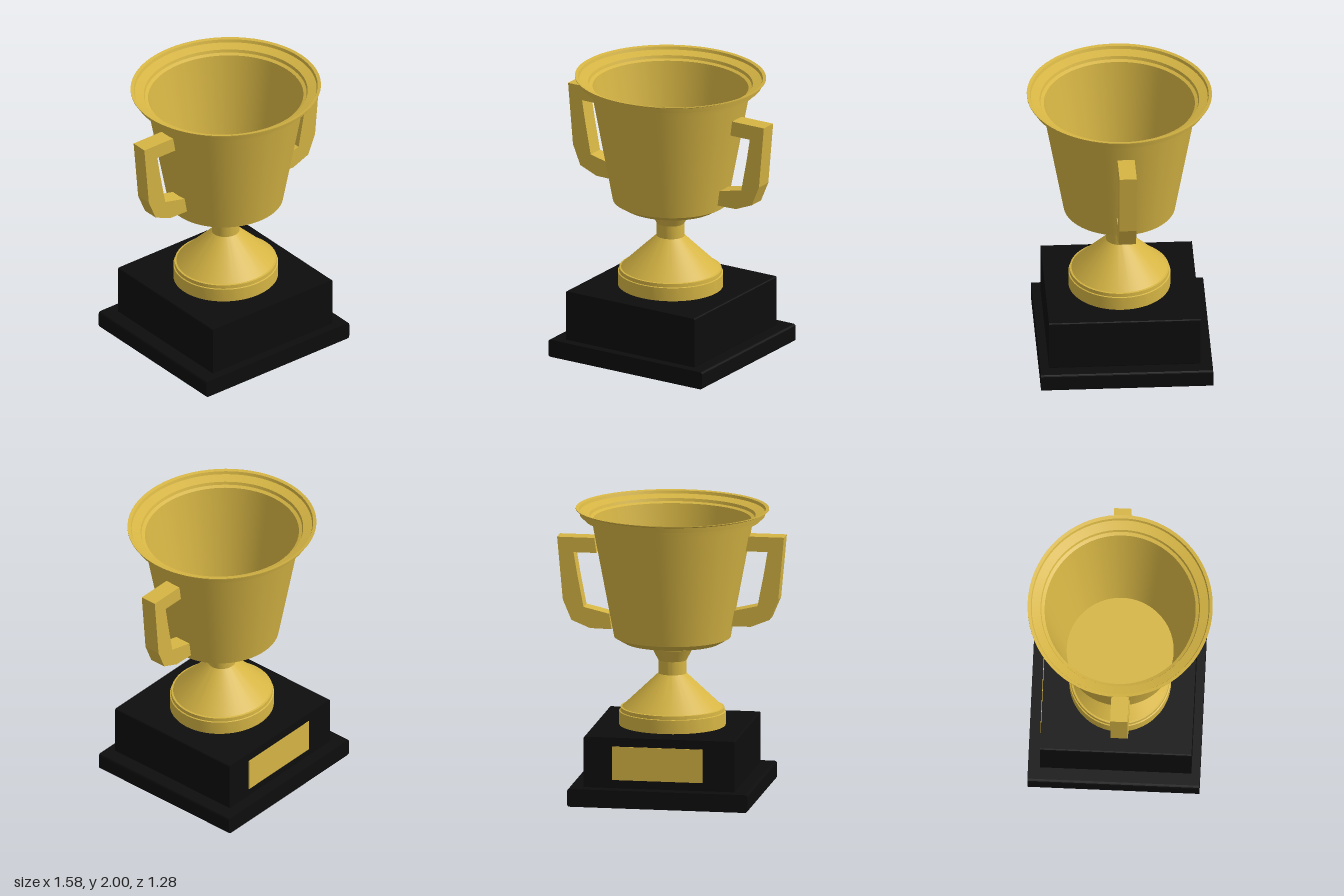
import * as THREE from 'three';
import { toCreasedNormals } from 'three/addons/utils/BufferGeometryUtils.js';

const gold = new THREE.MeshStandardMaterial({ color: 0xd6b544 });
gold.name = 'gold';
const black = new THREE.MeshStandardMaterial({ color: 0x0d0d0d });
black.name = 'black';

function mesh(name, geometry, material) {
  const m = new THREE.Mesh(geometry, material);
  m.name = name;
  return m;
}

// Slightly oval turned part; profile runs up the outside
function turned(name, profile) {
  const points = profile.map(([r, y]) => new THREE.Vector2(r, y));
  const geometry = new THREE.LatheGeometry(points, 72).scale(1, 1, 0.956);
  const m = mesh(name, toCreasedNormals(geometry, 0.35), gold);
  m.position.x = -0.004;
  return m;
}

// Slab with rounded long edges, extruded from back to front
function slab(name, x0, x1, y0, y1, z0, z1, r) {
  const s = new THREE.Shape();
  s.moveTo(x0 + r, y0).lineTo(x1 - r, y0);
  s.quadraticCurveTo(x1, y0, x1, y0 + r).lineTo(x1, y1 - r);
  s.quadraticCurveTo(x1, y1, x1 - r, y1).lineTo(x0 + r, y1);
  s.quadraticCurveTo(x0, y1, x0, y1 - r).lineTo(x0, y0 + r);
  s.quadraticCurveTo(x0, y0, x0 + r, y0);
  const geometry = new THREE.ExtrudeGeometry(s, { depth: z1 - z0, bevelEnabled: false, curveSegments: 4 });
  return mesh(name, geometry.translate(0, 0, z0), black);
}

// Angular handle; side is +1 or -1 along x
function handle(name, side, dy, z0) {
  const outline = [
    [0.53, 1.825], [0.79, 1.825], [0.75, 1.385], [0.69, 1.243], [0.56, 1.19], [0.41, 1.187],
    [0.425, 1.295], [0.605, 1.337], [0.65, 1.57], [0.675, 1.72], [0.515, 1.72],
  ];
  const shape = new THREE.Shape(outline.map(([x, y]) => new THREE.Vector2(x * side, y + dy)));
  const geometry = new THREE.ExtrudeGeometry(shape, { depth: 0.119, bevelEnabled: false });
  return mesh(name, geometry.translate(0, 0, z0), gold);
}

export function createModel() {
  const trophy = new THREE.Group();
  trophy.name = 'trophy';

  // Stepped plinth
  trophy.add(slab('plinthFoot', -0.635, 0.627, 0, 0.125, -0.613, 0.575, 0.02));
  trophy.add(slab('plinthBlock', -0.53, 0.525, 0.12, 0.48, -0.53, 0.515, 0.012));

  // Plaque on the back of the plinth
  const plaque = mesh('plaque', new THREE.BoxGeometry(0.63, 0.235, 0.008), gold);
  plaque.position.set(0.01, 0.3, -0.531);
  trophy.add(plaque);

  // Stem: drum, cone, neck and flare
  trophy.add(turned('stem', [
    [0, 0.475], [0.368, 0.475], [0.368, 0.575], [0.36, 0.578], [0.358, 0.603], [0.345, 0.605],
    [0.098, 0.84], [0.098, 0.933], [0.143, 1.02], [0.165, 1.022], [0.165, 1.05], [0, 1.05],
  ]));

  // Hollow bowl with stepped rim
  trophy.add(turned('bowl', [
    [0, 1.045], [0.2, 1.045], [0.335, 1.06], [0.403, 1.1], [0.558, 1.92], [0.605, 1.92],
    [0.61, 1.948], [0.638, 1.95], [0.645, 1.985], [0.668, 1.995], [0.668, 2],
    [0.645, 1.995], [0.638, 1.975], [0.575, 1.955], [0.568, 1.935], [0.545, 1.925],
    [0.386, 1.105], [0, 1.105],
  ]));

  // Handles, set slightly out of line with each other
  trophy.add(handle('leftHandle', 1, -0.04, -0.076));
  trophy.add(handle('rightHandle', -1, 0, -0.034));
  return trophy;
}
